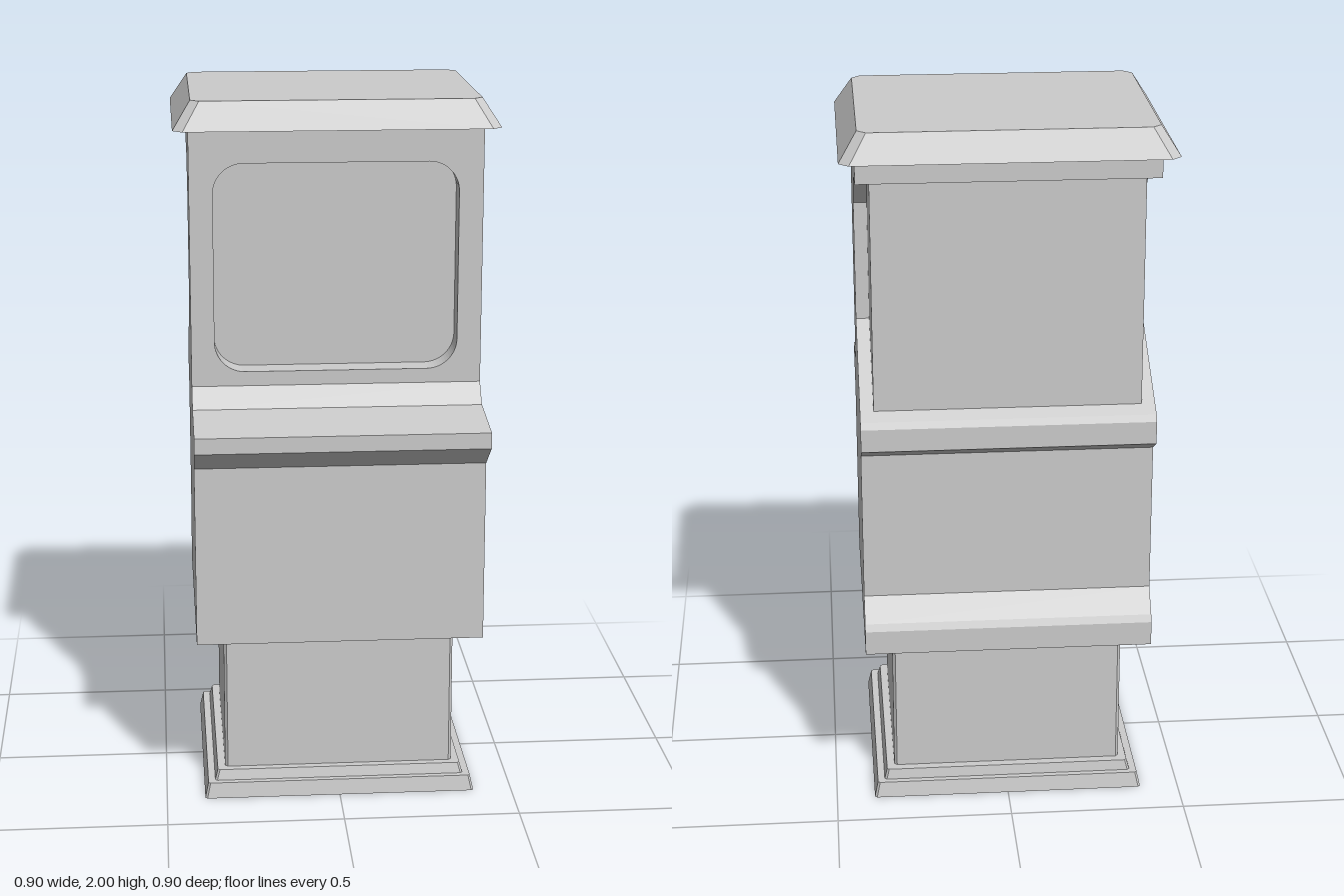
import * as THREE from 'three';

const material = new THREE.MeshStandardMaterial({ color: 0xcccccc });

function addMesh(group, name, geometry) {
  const mesh = new THREE.Mesh(geometry, material);
  mesh.name = name;
  group.add(mesh);
  return mesh;
}

// Rectangular block with cut corners whose top may be narrower than its base.
// Each rectangle is [halfWidth, backZ, frontZ].
function taperedBlock(y0, y1, base, top, cut) {
  const [w, back, front] = base;
  const d = (front - back) / 2;
  const shape = new THREE.Shape([
    [w, -d + cut], [w, d - cut], [w - cut, d], [-w + cut, d],
    [-w, d - cut], [-w, -d + cut], [-w + cut, -d], [w - cut, -d],
  ].map(([x, y]) => new THREE.Vector2(x, y)));
  const geo = new THREE.ExtrudeGeometry(shape, { depth: y1 - y0, bevelEnabled: false });
  geo.rotateX(-Math.PI / 2);
  const pos = geo.attributes.position;
  for (let i = 0; i < pos.count; i++) {
    const upper = pos.getY(i) > (y1 - y0) / 2;
    const [tw, tb, tf] = upper ? top : base;
    pos.setXYZ(
      i,
      pos.getX(i) * tw / w,
      upper ? y1 : y0,
      pos.getZ(i) * (tf - tb) / (2 * d) + (tf + tb) / 2,
    );
  }
  geo.computeVertexNormals();
  return geo;
}

// Side profile of [z, y] points, extruded across the width.
function sideProfile(points, width) {
  const shape = new THREE.Shape(points.map(([z, y]) => new THREE.Vector2(z, y)));
  const geo = new THREE.ExtrudeGeometry(shape, { depth: width, bevelEnabled: false });
  geo.translate(0, 0, -width / 2);
  geo.rotateY(-Math.PI / 2);
  return geo;
}

function roundedRect(path, x0, y0, x1, y1, r) {
  path.moveTo(x0 + r, y0);
  path.lineTo(x1 - r, y0);
  path.absarc(x1 - r, y0 + r, r, -Math.PI / 2, 0);
  path.lineTo(x1, y1 - r);
  path.absarc(x1 - r, y1 - r, r, 0, Math.PI / 2);
  path.lineTo(x0 + r, y1);
  path.absarc(x0 + r, y1 - r, r, Math.PI / 2, Math.PI);
  path.lineTo(x0, y0 + r);
  path.absarc(x0 + r, y0 + r, r, Math.PI, Math.PI * 1.5);
  return path;
}

export function createModel() {
  const model = new THREE.Group();
  model.name = 'arcadeKiosk';

  // Stepped plinth and pedestal
  addMesh(model, 'plinth', taperedBlock(0, 0.045, [0.39, -0.38, 0.335], [0.38, -0.372, 0.328], 0.006));
  addMesh(model, 'plinthStep', taperedBlock(0.045, 0.075, [0.36, -0.355, 0.31], [0.352, -0.35, 0.303], 0.006));
  addMesh(model, 'pedestal', taperedBlock(0.075, 0.48, [0.33, -0.325, 0.28], [0.33, -0.325, 0.28], 0.008));

  // Cabinet with front ledge, rear ridges and a notch for the rear panel
  const width = 0.815;
  addMesh(model, 'cabinet', sideProfile([
    [0.35, 0.48], [0.35, 1.0], [0.45, 1.07], [0.45, 1.115], [0.245, 1.14], [0.195, 1.195],
    [0.125, 1.195], [0.137, 1.922],
    [-0.387, 1.922], [-0.387, 1.855], [-0.14, 1.81], [-0.06, 1.71], [-0.06, 1.37],
    [-0.36, 1.2], [-0.39, 1.183], [-0.4, 1.165], [-0.4, 1.1], [-0.34, 1.065],
    [-0.34, 0.635], [-0.39, 0.57], [-0.4, 0.55], [-0.4, 0.48],
  ], width));

  // Inset rear block filling the notch
  const rear = addMesh(model, 'rearPanel', new THREE.BoxGeometry(0.74, 0.69, 0.305));
  rear.position.set(0, 1.515, -0.2025);

  // Front frame with a rounded opening, leaning very slightly forward
  const frame = new THREE.Shape();
  frame.moveTo(-width / 2, 0);
  frame.lineTo(width / 2, 0);
  frame.lineTo(width / 2, 0.727);
  frame.lineTo(-width / 2, 0.727);
  frame.closePath();
  frame.holes.push(roundedRect(new THREE.Path(), -0.342, 0.042, 0.34, 0.632, 0.085));
  const frameMesh = addMesh(model, 'screenFrame',
    new THREE.ExtrudeGeometry(frame, { depth: 0.07, bevelEnabled: false, curveSegments: 8 }));
  frameMesh.position.set(0, 1.195, 0.125);
  frameMesh.rotation.x = 0.0165;

  // Sloped roof cap
  addMesh(model, 'roof', taperedBlock(1.922, 2, [0.45, -0.45, 0.267], [0.4, -0.41, 0.225], 0.027));

  return model;
}
